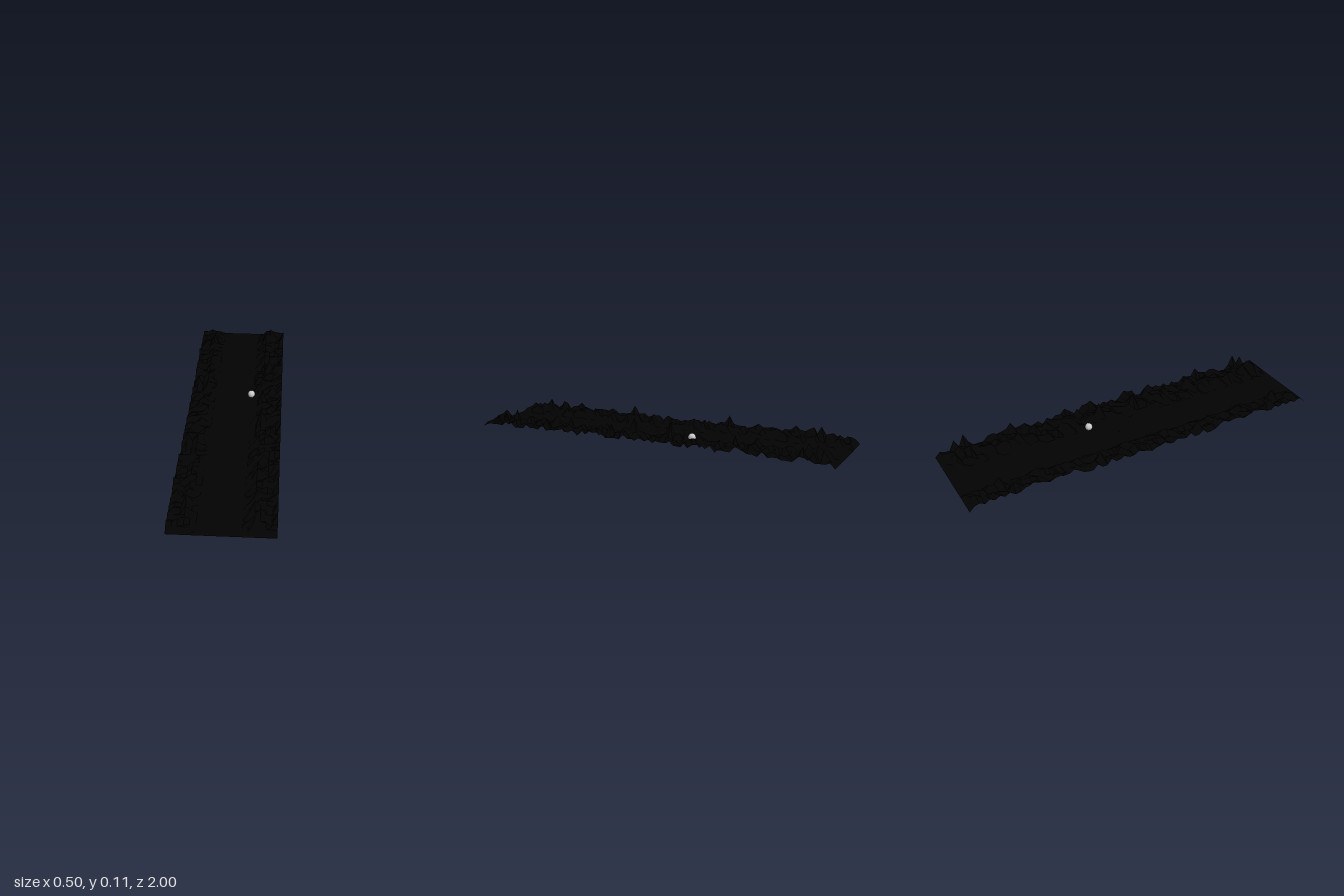
import * as THREE from 'three';

// Highest point of each column across the valley, from -x to +x
const columns = [0.064, 0.088, 0.06, 0.091, 0.05, 0.018, 0.007, 0, 0, 0,
  0, 0, 0, 0.012, 0.045, 0.113, 0.085, 0.083, 0.055, 0.092];
// Highest point of each row, from the middle out to either end
const rows = [0.025, 0.035, 0.04, 0.048, 0.113, 0.055, 0.055, 0.036, 0.08, 0.045, 0.065, 0.086, 0.042,
  0.036, 0.04, 0.052, 0.036, 0.05, 0.086, 0.05, 0.04, 0.046, 0.078, 0.046, 0.04, 0.064, 0.045,
  0.04, 0.058, 0.07, 0.045, 0.09, 0.092, 0.06, 0.085, 0.06, 0.05, 0.025, 0];
// Main summits: row -> column
const summits = { 4: 15, 8: 17, 11: 1, 18: 16, 22: 19, 25: 0, 29: 1, 31: 3, 32: 19, 34: 16 };

function seeded(seed) {
  return () => (seed = (seed * 16807) % 2147483647) / 2147483647;
}

// Rugged heights bounded by the column and row maxima, one summit per row
function makeHeights() {
  const random = seeded(4127);
  return rows.map((rowMax, row) => {
    const heights = columns.map((c) => Math.min(rowMax, c * (0.08 + 0.7 * random())));
    const tall = columns.map((c, i) => i).filter((i) => columns[i] >= rowMax);
    const pick = tall[Math.floor(random() * tall.length)];
    heights[summits[row] ?? pick] = rowMax;
    return heights;
  });
}

export function createModel() {
  const model = new THREE.Group();
  const dark = new THREE.MeshStandardMaterial({
    color: 0x020203, flatShading: true, side: THREE.DoubleSide,
  });

  // Valley floor with a mountain ridge on each side, mirrored front to back
  const nx = columns.length, half = rows.length - 1;
  const geometry = new THREE.PlaneGeometry(0.5, 2, nx - 1, half * 2).rotateX(-Math.PI / 2);
  const heights = makeHeights();
  const position = geometry.attributes.position;
  for (let i = 0; i < position.count; i++) {
    const row = Math.abs(Math.floor(i / nx) - half);
    position.setY(i, heights[row][i % nx]);
  }
  geometry.computeVertexNormals();
  const terrain = new THREE.Mesh(geometry, dark);
  terrain.name = 'mountainValley';
  model.add(terrain);

  // Ball hovering beside the ridge
  const ball = new THREE.Mesh(
    new THREE.SphereGeometry(0.02, 32, 20),
    new THREE.MeshStandardMaterial({ color: 0xcccccc }),
  );
  ball.name = 'ball';
  ball.position.set(0.082, 0.027, -0.2);
  model.add(ball);

  // Tiny marker on the valley floor
  const marker = new THREE.Mesh(new THREE.BoxGeometry(0.004, 0.004, 0.006), dark);
  marker.name = 'floorMarker';
  marker.position.set(0, 0.002, -0.06);
  model.add(marker);

  return model;
}
